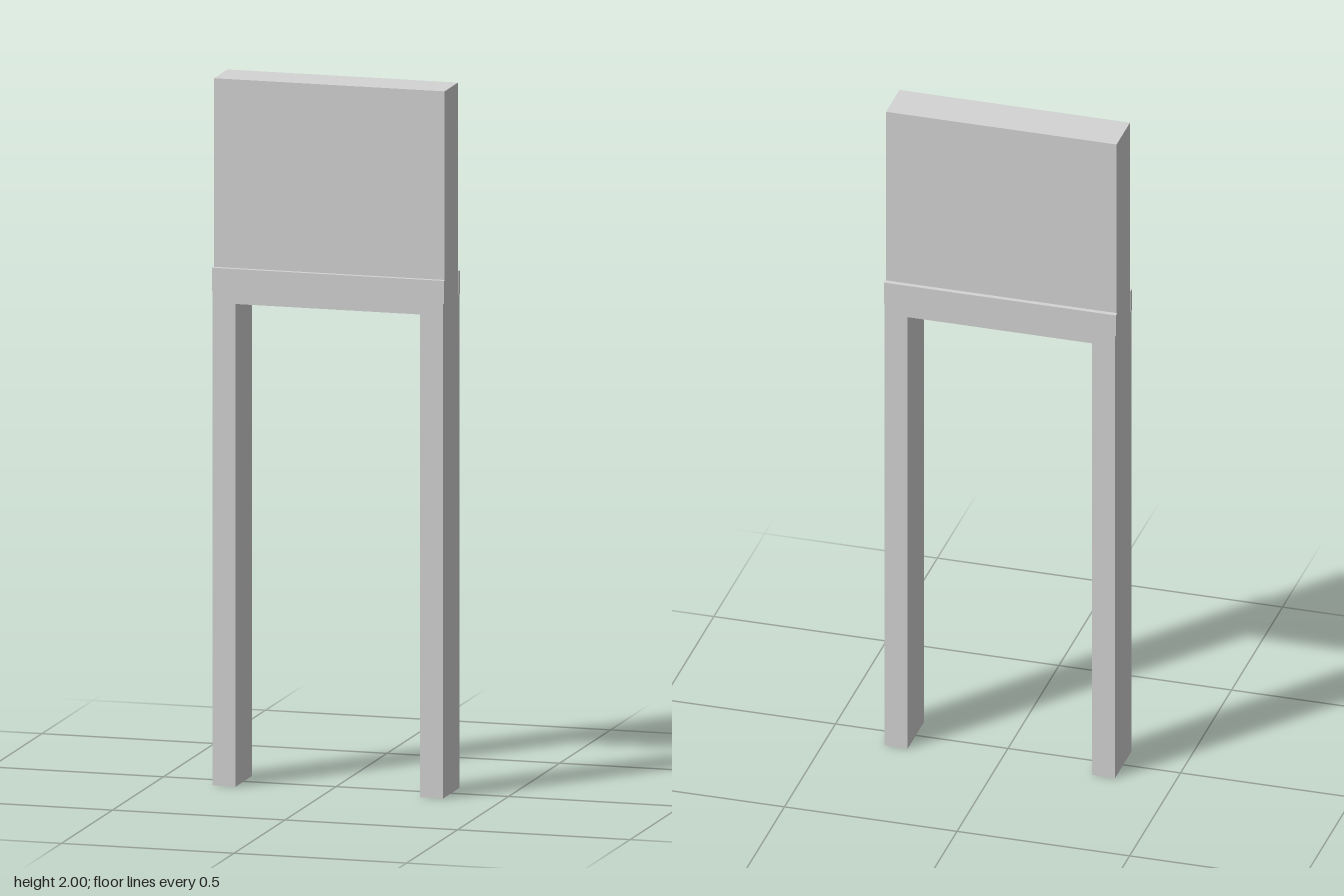
import * as THREE from 'three';

export function createModel() {
  const model = new THREE.Group();
  const grey = new THREE.MeshStandardMaterial({ color: 0xd4d4d4 });
  grey.name = 'light grey';

  const add = (name, geometry, y, z) => {
    const mesh = new THREE.Mesh(geometry, grey);
    mesh.name = name;
    mesh.position.set(0, y, z);
    model.add(mesh);
  };

  const halfWidth = 0.334, inner = 0.267, halfDepth = 0.08, panelHalf = 0.066;
  const shoulder = 1.4, underside = 1.367, railTop = 1.466;

  // Two legs joined by a thin crosspiece, as one arch
  const arch = new THREE.Shape([
    [-halfWidth, 0], [-inner, 0], [-inner, underside], [inner, underside],
    [inner, 0], [halfWidth, 0], [halfWidth, shoulder], [-halfWidth, shoulder],
  ].map(([x, y]) => new THREE.Vector2(x, y)));
  add('legFrame', new THREE.ExtrudeGeometry(arch, { depth: 2 * halfDepth, bevelEnabled: false }), 0, -halfDepth);

  // Upright panel standing on the frame
  const panelHeight = 2 - shoulder;
  add('panel', new THREE.BoxGeometry(2 * halfWidth, panelHeight, 2 * panelHalf), shoulder + panelHeight / 2, 0);

  // Slightly wider rails clamping the panel at front and back
  const railHeight = railTop - shoulder, railDepth = halfDepth - panelHalf;
  for (const [name, side] of [['frontRail', 1], ['backRail', -1]]) {
    add(name, new THREE.BoxGeometry(0.672, railHeight, railDepth),
      shoulder + railHeight / 2, side * (panelHalf + railDepth / 2));
  }
  return model;
}
